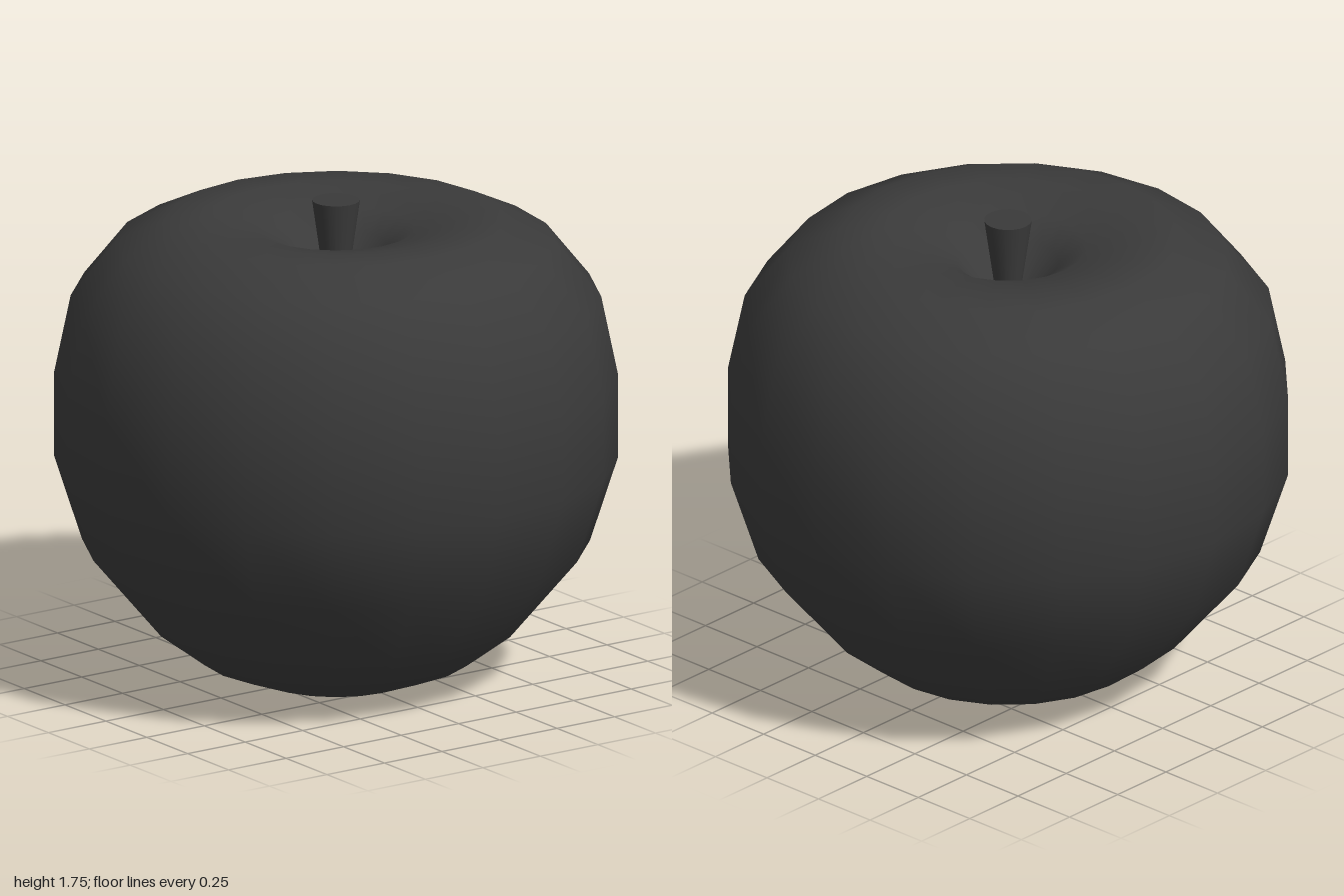
import * as THREE from 'three';

const SEGMENTS = 20;

export function createModel() {
  const group = new THREE.Group();
  const material = new THREE.MeshStandardMaterial({ color: 0x3a3a3a });

  // Fruit body: one turned profile from the base up and down into the stem hollow
  const profile = [
    [0, 0.02], [0.28, 0], [0.49, 0.08], [0.65, 0.2], [0.9, 0.5],
    [1, 0.81], [1, 1.11], [0.94, 1.4], [0.78, 1.6], [0.6, 1.685],
    [0.46, 1.69], [0.28, 1.65], [0.18, 1.59], [0.08, 1.47], [0, 1.43],
  ].map(([r, y]) => new THREE.Vector2(r, y));
  const body = new THREE.Mesh(new THREE.LatheGeometry(profile, SEGMENTS), material);
  body.name = 'fruitBody';
  group.add(body);

  // Stem: tapered, wider at the top, rooted in the hollow
  const top = 1.755, root = 1.44;
  const stem = new THREE.Mesh(
    new THREE.CylinderGeometry(0.085, 0.04, top - root, SEGMENTS), material);
  stem.position.y = (top + root) / 2;
  stem.name = 'stem';
  group.add(stem);

  return group;
}
